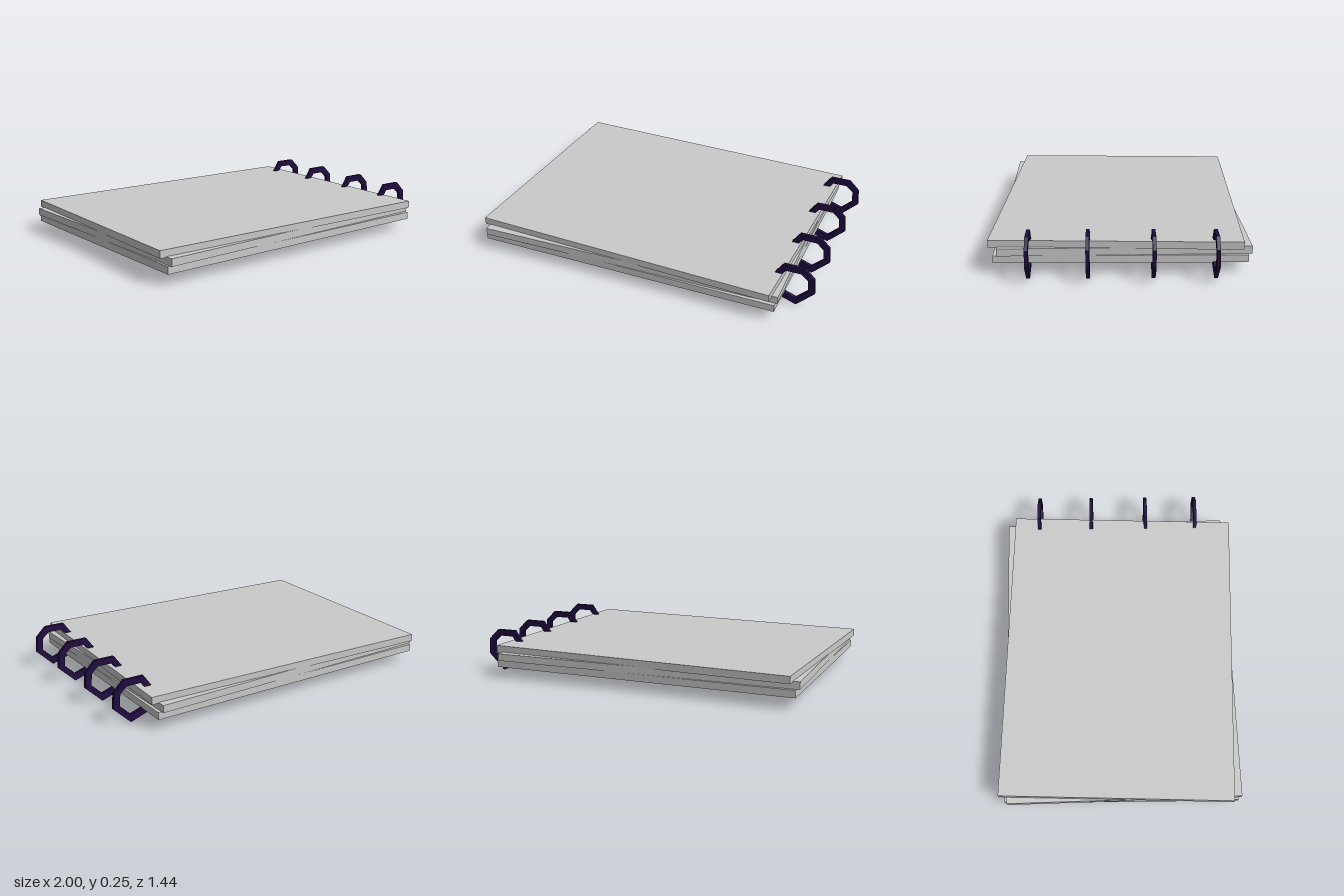
import * as THREE from 'three';

export function createModel() {
  const model = new THREE.Group();
  const grey = new THREE.MeshStandardMaterial({ color: 0xcacaca });
  grey.name = 'pageGrey';
  const purple = new THREE.MeshStandardMaterial({ color: 0x200b40 });
  purple.name = 'ringPurple';

  // Three loosely stacked slabs: name, centre x, centre z, bottom y, turn
  const thickness = 0.042;
  const slabs = [
    ['bottomCover', -0.073, 0, 0.062, 0],
    ['middlePages', -0.076, -0.002, 0.105, 0.022],
    ['topCover', -0.074, -0.002, 0.142, -0.033],
  ];
  for (const [name, x, z, y, turn] of slabs) {
    const slab = new THREE.Mesh(new THREE.BoxGeometry(1.805, thickness, 1.378), grey);
    slab.name = name;
    slab.position.set(x, y + thickness / 2, z);
    slab.rotation.y = turn;
    model.add(slab);
  }

  // Flat faceted ring, open where its ends enter the covers
  const outer = [[0.762, 0.172], [0.815, 0.248], [0.933, 0.248], [0.992, 0.19], [1, 0.098], [0.9, 0], [0.79, 0.038]];
  const inner = [[0.81, 0.072], [0.895, 0.043], [0.962, 0.107], [0.957, 0.176], [0.917, 0.211], [0.832, 0.211], [0.8, 0.17]];
  const width = 0.02;
  const profile = new THREE.Shape([...outer, ...inner].map(([x, y]) => new THREE.Vector2(x, y)));
  const ringGeometry = new THREE.ExtrudeGeometry(profile, { depth: width, bevelEnabled: false });
  ringGeometry.translate(0, 0, -width / 2);

  // Four rings along the bound edge
  [0.494, 0.176, -0.174, -0.507].forEach((z, i) => {
    const ring = new THREE.Mesh(ringGeometry, purple);
    ring.name = `bindingRing${i + 1}`;
    ring.position.z = z;
    model.add(ring);
  });

  return model;
}
